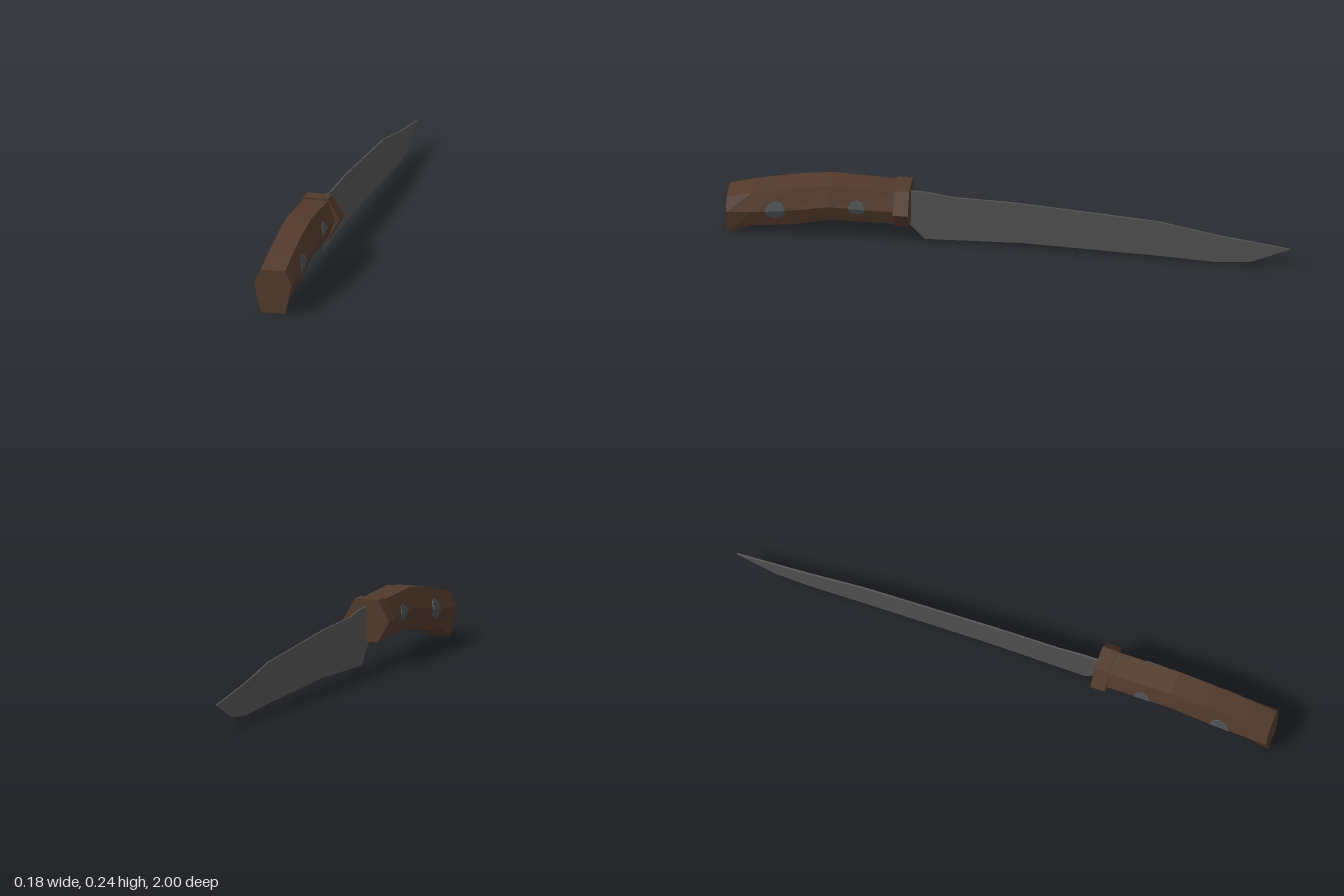
import * as THREE from 'three';

// Handle stations from the butt forward: [z, top, ridge, bottom]
const HANDLE = [
  [1.0, 0.16, 0.112, 0.002],
  [0.91, 0.187, 0.12, 0.045],
  [0.76, 0.222, 0.142, 0.063],
  [0.635, 0.241, 0.168, 0.095],
  [0.38, 0.234, 0.168, 0.101],
];
const GUARD = [
  [0.404, 0.243, 0.167, 0.09],
  [0.35, 0.243, 0.167, 0.09],
];
const FLAT = 0.044, RIDGE = 0.069, GUARD_RIDGE = 0.088;

// Hexagonal sections joined into a closed, faceted solid
function hexLoft(stations, ridgeHalf) {
  const rings = stations.map(([z, t, m, b]) => [
    [FLAT, t, z], [-FLAT, t, z], [-ridgeHalf, m, z],
    [-FLAT, b, z], [FLAT, b, z], [ridgeHalf, m, z],
  ]);
  const pos = [];
  const tri = (a, b, c) => pos.push(...a, ...b, ...c);
  for (let s = 0; s < rings.length - 1; s++) {
    const F = rings[s], B = rings[s + 1];
    for (let i = 0; i < 6; i++) {
      const j = (i + 1) % 6;
      tri(F[i], B[i], B[j]);
      tri(F[i], B[j], F[j]);
    }
  }
  const first = rings[0], last = rings[rings.length - 1];
  for (let i = 1; i < 5; i++) {
    tri(first[0], first[i], first[i + 1]);
    tri(last[0], last[i + 1], last[i]);
  }
  const geo = new THREE.BufferGeometry();
  geo.setAttribute('position', new THREE.Float32BufferAttribute(pos, 3));
  geo.computeVertexNormals();
  return geo;
}

// Handle heights at any z, interpolated between stations
function handleAt(z) {
  let s = 0;
  while (s < HANDLE.length - 2 && z < HANDLE[s + 1][0]) s++;
  const A = HANDLE[s], B = HANDLE[s + 1];
  const k = (A[0] - z) / (A[0] - B[0]);
  return [1, 2, 3].map((i) => A[i] + (B[i] - A[i]) * k);
}

// Octagonal pin right through the handle, its heads folded over the ridges
function rivetGeometry(z, radius) {
  const geo = new THREE.CylinderGeometry(radius, radius, 2, 8).rotateZ(Math.PI / 2);
  const p = geo.attributes.position;
  for (let i = 0; i < p.count; i++) {
    const dy = p.getY(i), pz = z + p.getZ(i);
    const [top, mid, bottom] = handleAt(pz);
    const k = Math.abs(dy) / (dy > 0 ? top - mid : mid - bottom);
    const half = RIDGE + (FLAT - RIDGE) * k + 0.002;
    p.setXYZ(i, Math.sign(p.getX(i)) * half, mid + dy, pz);
  }
  const flat = geo.toNonIndexed();
  flat.computeVertexNormals();
  return flat;
}

// Blade outline as [z, y], along the spine to the tip and back along the edge
const BLADE = [
  [0.37, 0.218], [0.29, 0.217], [0.2, 0.203], [-0.02, 0.2], [-0.53, 0.168],
  [-0.74, 0.128], [-1, 0.092], [-0.86, 0.025], [-0.74, 0.012], [-0.53, 0.02],
  [-0.05, 0.029], [0.2, 0.018], [0.3, 0.014], [0.37, 0.09],
];

function bladeGeometry() {
  const shape = new THREE.Shape(BLADE.map(([z, y]) => new THREE.Vector2(-z, y)));
  return new THREE.ExtrudeGeometry(shape, { depth: 0.006, bevelEnabled: false })
    .translate(0, 0, -0.003)
    .rotateY(Math.PI / 2);
}

export function createModel() {
  const material = (name, color) => {
    const m = new THREE.MeshStandardMaterial({ color, flatShading: true });
    m.name = name;
    return m;
  };
  const wood = material('wood', 0x523a2c);
  const steel = material('steel', 0x525252);
  const pin = material('pinMetal', 0x4b5052);

  const model = new THREE.Group();
  model.name = 'knife';
  const add = (name, geo, mat) => {
    const mesh = new THREE.Mesh(geo, mat);
    mesh.name = name;
    model.add(mesh);
  };

  add('handle', hexLoft(HANDLE, RIDGE), wood);
  add('guard', hexLoft(GUARD, GUARD_RIDGE), wood);
  add('blade', bladeGeometry(), steel);
  add('rearRivet', rivetGeometry(0.825, 0.037), pin);
  add('frontRivet', rivetGeometry(0.535, 0.031), pin);
  return model;
}
